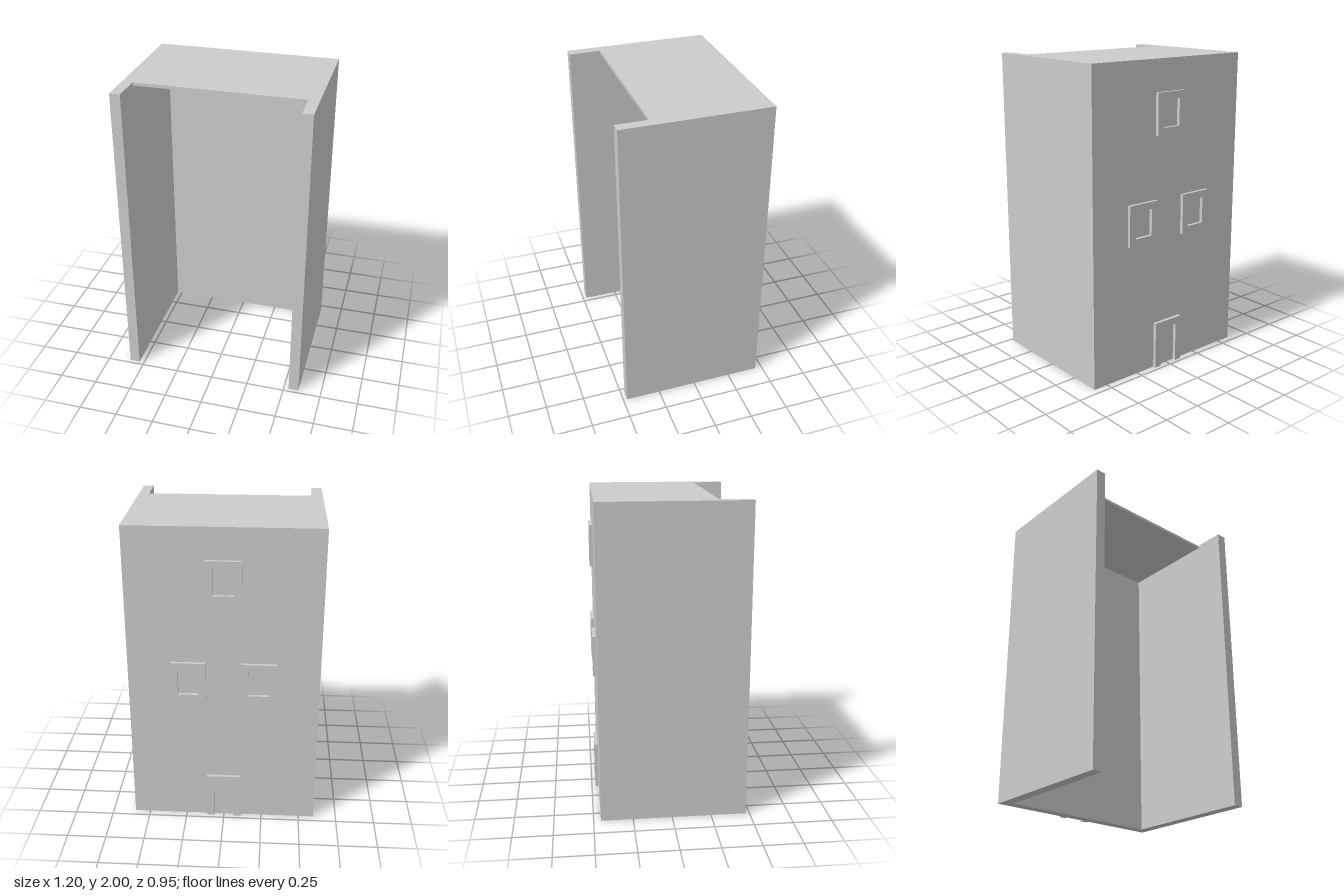
import * as THREE from 'three';

const W = 1.2, H = 2, WALL = 0.067, ROOF = 0.02;
const FRONT = 0.476, BACK = -0.454, FRAME_DEPTH = 0.022, BORDER = 0.046;

const material = new THREE.MeshStandardMaterial({ color: 0xcccccc, flatShading: true });

function add(group, name, geometry) {
  const mesh = new THREE.Mesh(geometry, material);
  mesh.name = name;
  group.add(mesh);
  return mesh;
}

// U-shaped walls, open at the front: plan drawn in x / -z, extruded upwards
function wallsGeometry() {
  const x = W / 2, xi = x - WALL, zi = BACK + WALL;
  const plan = [[-x, FRONT], [-xi, FRONT], [-xi, zi], [xi, zi], [xi, FRONT], [x, FRONT], [x, BACK], [-x, BACK]];
  const shape = new THREE.Shape(plan.map(([px, pz]) => new THREE.Vector2(px, -pz)));
  return new THREE.ExtrudeGeometry(shape, { depth: H, bevelEnabled: false }).rotateX(-Math.PI / 2);
}

// Rectangular surround, standing proud of the back wall; doors are open at the bottom
function frameGeometry(w, h, isDoor) {
  const x = w / 2, xi = x - BORDER, top = h - BORDER;
  const points = (list) => list.map(([px, py]) => new THREE.Vector2(px, py));
  let shape;
  if (isDoor) {
    shape = new THREE.Shape(points([[-x, 0], [-xi, 0], [-xi, top], [xi, top], [xi, 0], [x, 0], [x, h], [-x, h]]));
  } else {
    shape = new THREE.Shape(points([[-x, 0], [x, 0], [x, h], [-x, h]]));
    shape.holes.push(new THREE.Path(points([[-xi, BORDER], [-xi, top], [xi, top], [xi, BORDER]])));
  }
  return new THREE.ExtrudeGeometry(shape, { depth: FRAME_DEPTH, bevelEnabled: false });
}

export function createModel() {
  const model = new THREE.Group();
  model.name = 'building';

  add(model, 'walls', wallsGeometry());

  // Thin flat roof between the walls, stopping short of the open front
  const roofFront = 0.275, roofBack = BACK + WALL;
  add(model, 'roof', new THREE.BoxGeometry(W - 2 * WALL, ROOF, roofFront - roofBack))
    .position.set(0, H - ROOF / 2, (roofFront + roofBack) / 2);

  // Surrounds on the back wall: name, x, sill height, height
  const frames = [
    ['doorFrame', 0, 0, 0.31],
    ['leftWindowFrame', 0.221, 0.872, 0.263],
    ['rightWindowFrame', -0.221, 0.872, 0.263],
    ['upperWindowFrame', 0, 1.537, 0.263],
  ];
  for (const [name, x, y, h] of frames) {
    add(model, name, frameGeometry(0.222, h, name === 'doorFrame'))
      .position.set(x, y, BACK - FRAME_DEPTH);
  }
  return model;
}
